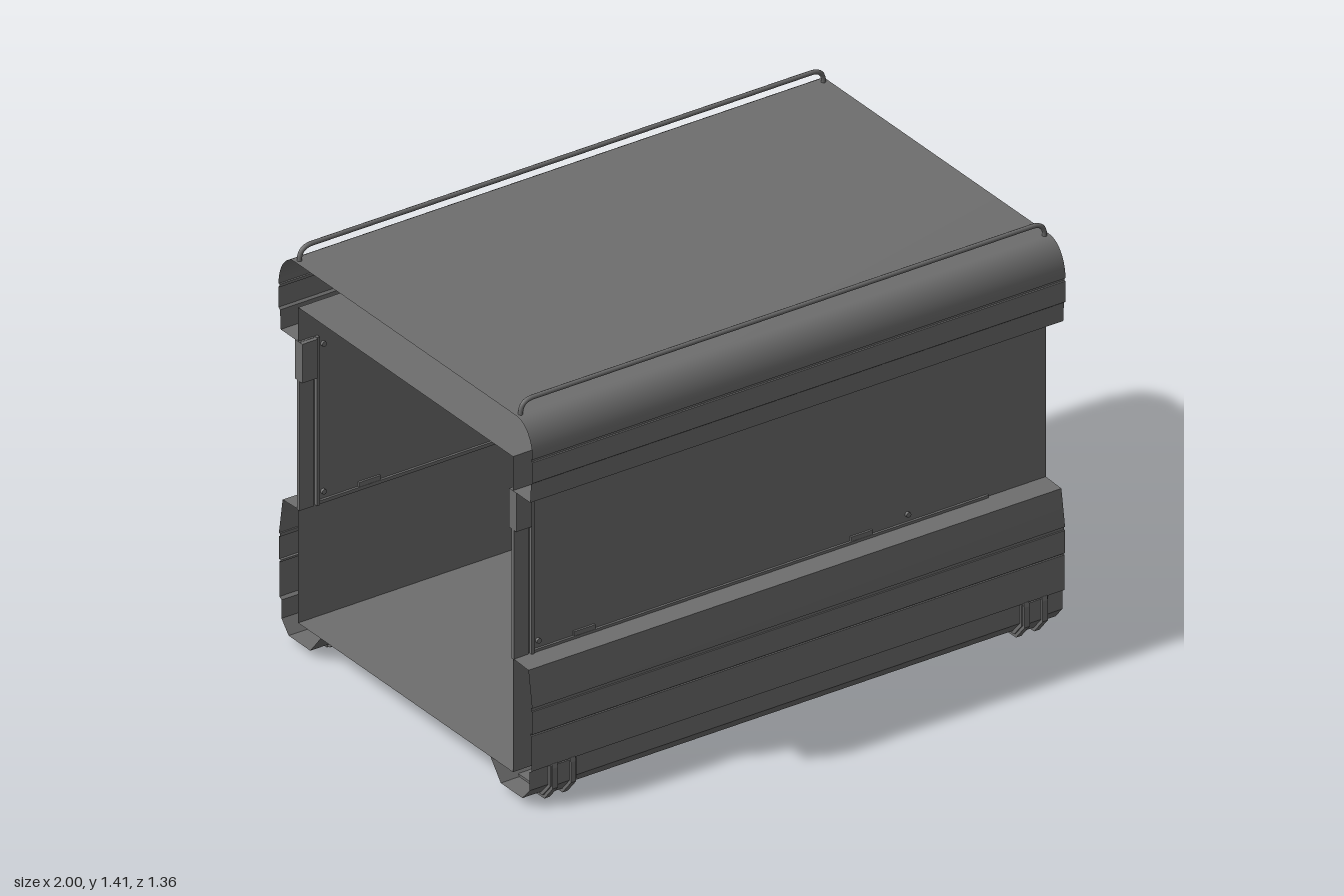
import * as THREE from 'three';
import { toCreasedNormals } from 'three/addons/utils/BufferGeometryUtils.js';

const dark = new THREE.MeshStandardMaterial({ color: 0x6e6e6e });
const darkSheet = new THREE.MeshStandardMaterial({ color: 0x6e6e6e, side: THREE.DoubleSide });

// Sheet swept along the full length from a [z, y] section
function sheet(name, section) {
  const pos = [];
  for (let i = 0; i < section.length - 1; i++) {
    const [z0, y0] = section[i], [z1, y1] = section[i + 1];
    pos.push(-1, y0, z0, 1, y0, z0, 1, y1, z1, -1, y0, z0, 1, y1, z1, -1, y1, z1);
  }
  const g = new THREE.BufferGeometry();
  g.setAttribute('position', new THREE.Float32BufferAttribute(pos, 3));
  const mesh = new THREE.Mesh(toCreasedNormals(g, 0.45), darkSheet);
  mesh.name = name;
  return mesh;
}

const mirrored = (section) => section.map(([z, y]) => [-z, y]).reverse();

function box(name, x0, x1, y0, y1, z0, z1) {
  const m = new THREE.Mesh(new THREE.BoxGeometry(x1 - x0, y1 - y0, Math.abs(z1 - z0)), dark);
  m.position.set((x0 + x1) / 2, (y0 + y1) / 2, (z0 + z1) / 2);
  m.name = name;
  return m;
}

// Solid of a [z, y] outline, given width along x
function slab(name, outline, x, width, s) {
  const shape = new THREE.Shape(outline.map(([z, y]) => new THREE.Vector2(z, y)));
  const g = new THREE.ExtrudeGeometry(shape, { depth: width, bevelEnabled: false });
  g.translate(0, 0, -width / 2).rotateY(-s * Math.PI / 2);
  const m = new THREE.Mesh(g, dark);
  m.position.x = x;
  m.name = name;
  return m;
}

export function createModel() {
  const model = new THREE.Group();

  // Roof: grooved side bands, rounded shoulders, flat top
  const half = [[0.575, 1.08], [0.668, 1.08], [0.672, 1.147], [0.68, 1.153],
    [0.68, 1.226], [0.674, 1.226], [0.674, 1.236], [0.68, 1.236]];
  for (let i = 1; i <= 10; i++) {
    const a = (i / 10) * Math.PI / 2;
    half.push([0.595 + 0.085 * Math.cos(a), 1.236 + 0.116 * Math.sin(a)]);
  }
  model.add(sheet('roof', [...half, ...mirrored(half)]));

  // Inner liner: floor, walls and ceiling, open at both ends
  model.add(sheet('innerLiner', [[-0.575, 0.09], [0.575, 0.09], [0.575, 1.2], [-0.575, 1.2], [-0.575, 0.09]]));

  // Lower skirt with grooves, bevelled edge and underside return
  const skirt = [[0.455, 0.09], [0.51, 0.022], [0.626, 0.022], [0.664, 0.065], [0.664, 0.13],
    [0.675, 0.137], [0.675, 0.261], [0.669, 0.261], [0.669, 0.268], [0.678, 0.268],
    [0.678, 0.348], [0.673, 0.348], [0.673, 0.36], [0.678, 0.36], [0.658, 0.486], [0.575, 0.49]];
  model.add(sheet('frontSkirt', skirt), sheet('backSkirt', mirrored(skirt)));

  // Wrap-around foot: thin wide pad and thicker ribs
  const pad = [[0.49, 0.03], [0.505, 0.013], [0.633, 0.013], [0.673, 0.06], [0.673, 0.132],
    [0.662, 0.132], [0.662, 0.066], [0.625, 0.03]];
  const rib = [[0.53, 0.02], [0.53, 0], [0.635, 0], [0.68, 0.054], [0.68, 0.125], [0.676, 0.14],
    [0.662, 0.14], [0.662, 0.066], [0.625, 0.02]];

  for (const s of [1, -1]) {
    const side = new THREE.Group();
    side.name = s > 0 ? 'frontFittings' : 'backFittings';
    model.add(side);

    for (const x of [-0.88, 0.89]) {
      const foot = new THREE.Group();
      foot.name = 'foot';
      foot.add(slab('footPad', pad, x, 0.1, s));
      for (const d of [-0.034, 0.034]) foot.add(slab('footRib', rib, x + d, 0.02, s));
      side.add(foot);
    }

    // Roof rail with rounded ends
    const path = new THREE.CurvePath();
    const v = (x, y) => new THREE.Vector3(x, y, s * 0.592);
    path.add(new THREE.LineCurve3(v(-0.983, 1.345), v(-0.983, 1.36)));
    path.add(new THREE.QuadraticBezierCurve3(v(-0.983, 1.36), v(-0.98, 1.398), v(-0.935, 1.398)));
    path.add(new THREE.LineCurve3(v(-0.935, 1.398), v(0.935, 1.398)));
    path.add(new THREE.QuadraticBezierCurve3(v(0.935, 1.398), v(0.98, 1.398), v(0.983, 1.36)));
    path.add(new THREE.LineCurve3(v(0.983, 1.36), v(0.983, 1.345)));
    const rail = new THREE.Mesh(new THREE.TubeGeometry(path, 240, 0.008, 8, false), dark);
    rail.name = 'roofRail';
    side.add(rail);

    // Corner post, latch block and panel edge
    side.add(box('cornerPost', -1, -0.945, 0.487, 1.08, s * 0.568, s * 0.58));
    side.add(box('latchBlock', -0.999, -0.94, 0.942, 1.079, s * 0.554, s * 0.592));
    side.add(box('panelEdge', -0.938, -0.928, 0.487, 1.08, s * 0.562, s * 0.587));

    // Panel sill with raised tabs
    side.add(box('panelSill', -0.93, 0.78, 0.487, 0.499, s * 0.567, s * 0.583));
    for (const x of [-0.735, 0.305]) side.add(box('sillTab', x - 0.04, x + 0.04, 0.49, 0.515, s * 0.568, s * 0.582));

    // Panel bolts
    for (const [x, y] of [[-0.907, 1.045], [-0.907, 0.525], [0.48, 0.525], [0.81, 1.045]]) {
      const bolt = new THREE.Mesh(new THREE.CylinderGeometry(0.009, 0.009, 0.018, 12), dark);
      bolt.rotation.x = Math.PI / 2;
      bolt.position.set(x, y, s * 0.575);
      bolt.name = 'bolt';
      side.add(bolt);
    }
  }
  return model;
}
